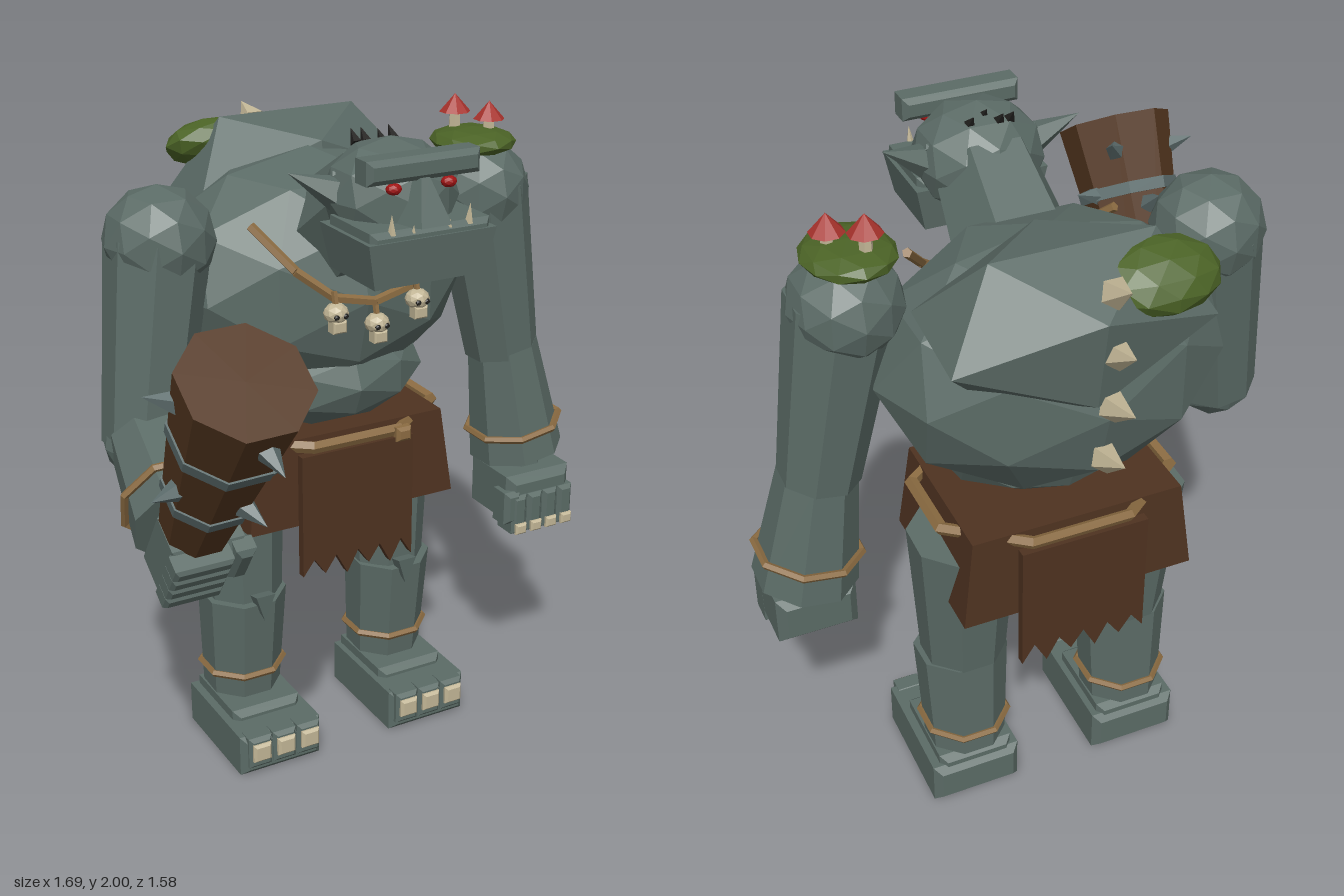
import * as THREE from 'three';

const mat = (name, color) => {
  const m = new THREE.MeshStandardMaterial({ color, flatShading: true });
  m.name = name;
  return m;
};
const V = (x, y, z) => new THREE.Vector3(x, y, z);
const UP = V(0, 1, 0);
const MID = 0.03; // centre line of the body

export function createModel() {
  const skin = mat('stone skin', 0x5b6b66), cloth = mat('leather cloth', 0x4e3220);
  const wood = mat('club wood', 0x53361f), rope = mat('rope', 0x8c6c42);
  const bone = mat('bone', 0xc2b696), moss = mat('moss', 0x4b6326);
  const cap = mat('mushroom red', 0xa8322c), eyeRed = mat('eye red', 0xa01414);
  const dark = mat('dark', 0x22211f), metal = mat('dull metal', 0x5c6c6c);
  const model = new THREE.Group();
  model.name = 'clubGiant';

  const group = (name, parent = model) => {
    const g = new THREE.Group();
    g.name = name;
    parent.add(g);
    return g;
  };
  const add = (name, geo, m, x, y, z, parent = model) => {
    const mesh = new THREE.Mesh(geo, m);
    mesh.name = name;
    mesh.position.set(x, y, z);
    parent.add(mesh);
    return mesh;
  };
  // Faceted ball
  const rock = (name, m, x, y, z, rx, ry, rz, parent, detail = 1) => {
    const r = add(name, new THREE.IcosahedronGeometry(1, detail), m, x, y, z, parent);
    r.scale.set(rx, ry, rz);
    return r;
  };
  // Tapered prism from point a to point b
  const limb = (name, m, a, b, ra, rb, parent, sides = 8) => {
    const geo = new THREE.CylinderGeometry(rb, ra, a.distanceTo(b), sides).rotateY(Math.PI / sides);
    const c = a.clone().lerp(b, 0.5);
    const mesh = add(name, geo, m, c.x, c.y, c.z, parent);
    mesh.quaternion.setFromUnitVectors(UP, b.clone().sub(a).normalize());
    return mesh;
  };
  const spike = (name, m, a, b, r, parent, sides = 5) => limb(name, m, a, b, r, 0, parent, sides);
  // Box with chamfered edges
  const block = (name, m, w, h, d, c, x, y, z, parent) => {
    const s = new THREE.Shape();
    const a = w / 2 - c, b = h / 2 - c;
    s.moveTo(-a, -b).lineTo(a, -b).lineTo(a, b).lineTo(-a, b);
    const geo = new THREE.ExtrudeGeometry(s, { depth: d - 2 * c, bevelEnabled: true, bevelSize: c, bevelThickness: c, bevelSegments: 1 });
    return add(name, geo.center(), m, x, y, z, parent);
  };
  // Rope ring around an axis
  const ring = (name, m, c, axis, rx, rz, t, parent) => {
    const geo = new THREE.TorusGeometry(1, t / rx, 5, 8).rotateX(Math.PI / 2).rotateY(Math.PI / 8).scale(rx, rx, rz);
    const r = add(name, geo, m, c.x, c.y, c.z, parent);
    r.quaternion.setFromUnitVectors(UP, axis.clone().normalize());
    return r;
  };

  // Torso
  const torso = group('torso');
  rock('chest', skin, MID, 1.5, -0.32, 0.49, 0.37, 0.36, torso);
  rock('belly', skin, MID, 1.22, -0.25, 0.32, 0.16, 0.25, torso);
  const hump = rock('hump', skin, 0.07, 1.72, -0.5, 0.42, 0.25, 0.25, torso, 0);
  hump.rotation.x = -0.15;
  rock('humpMoss', moss, -0.13, 1.84, -0.61, 0.16, 0.07, 0.11, torso).rotation.x = -0.5;
  [[1.87, -0.68, 0.08], [1.71, -0.7, 0.1], [1.55, -0.69, 0.12], [1.37, -0.66, 0.11]].forEach(([y, z, l]) =>
    spike('backSpike', bone, V(MID, y, z), V(MID, y + 0.045, z - l), 0.042, torso));
  limb('neck', skin, V(MID, 1.63, -0.17), V(MID, 1.83, 0.1), 0.18, 0.145, torso, 6);

  // Head
  const head = group('head');
  rock('skull', skin, MID, 1.84, 0.15, 0.185, 0.155, 0.18, head);
  block('muzzle', skin, 0.36, 0.06, 0.24, 0.015, MID, 1.775, 0.25, head);
  const jawGeo = new THREE.BoxGeometry(0.385, 0.125, 0.265);
  const jp = jawGeo.attributes.position;
  for (let i = 0; i < jp.count; i++) if (jp.getY(i) < 0) { jp.setX(i, jp.getX(i) * 0.87); jp.setZ(i, jp.getZ(i) * 0.9); }
  add('jaw', jawGeo, skin, MID, 1.717, 0.243, head);
  block('brow', skin, 0.34, 0.065, 0.085, 0.015, MID, 1.948, 0.29, head);
  limb('nose', skin, V(MID, 1.8, 0.325), V(MID, 1.92, 0.31), 0.078, 0.022, head, 5);
  for (const s of [-1, 1]) {
    rock('eye', eyeRed, MID + s * 0.083, 1.898, 0.308, 0.022, 0.016, 0.02, head);
    spike('ear', skin, V(MID + s * 0.14, 1.85, 0.14), V(MID + s * 0.285, 1.92, 0.11), 0.055, head);
    spike('tusk', bone, V(MID + s * 0.115, 1.765, 0.355), V(MID + s * 0.118, 1.85, 0.36), 0.018, head);
    spike('tooth', bone, V(MID + s * 0.055, 1.77, 0.36), V(MID + s * 0.055, 1.815, 0.365), 0.012, head);
    rock('wart', skin, MID + s * 0.15, 1.9, 0.12, 0.015, 0.015, 0.015, head, 0);
  }
  [[0, 0.07], [0.08, 0.08], [-0.03, 0.07], [0.03, 0.11]].forEach(([x, z]) =>
    spike('headBristle', dark, V(x, 1.965, z), V(x, 2.0, z - 0.03), 0.016, head, 4));

  // Necklace with small skulls
  const necklace = group('necklace');
  const pts = [V(-0.27, 1.73, -0.09), V(-0.19, 1.62, 0.02), V(-0.09, 1.54, 0.065), V(MID, 1.515, 0.075)];
  const strand = [...pts, ...pts.slice(0, 3).reverse().map(p => V(2 * MID - p.x, p.y, p.z))];
  for (let i = 0; i < strand.length - 1; i++) limb('cord', rope, strand[i], strand[i + 1], 0.014, 0.014, necklace, 5);
  [[-0.1, 1.505], [MID, 1.455], [0.16, 1.505]].forEach(([x, y]) => {
    const k = group('skullCharm', necklace);
    k.position.set(x, y, 0.085);
    rock('cranium', bone, 0, 0, 0, 0.036, 0.03, 0.036, k);
    block('charmJaw', bone, 0.042, 0.035, 0.04, 0.005, 0, -0.035, 0.008, k);
    limb('charmLoop', rope, V(0, 0.02, 0), V(0, 0.06, -0.01), 0.009, 0.009, k, 5);
    for (const s of [-1, 1]) rock('charmEye', dark, s * 0.014, -0.002, 0.031, 0.009, 0.009, 0.008, k, 0);
  });

  // Belt and loincloth
  const waist = group('loincloth');
  const skirt = new THREE.BoxGeometry(0.69, 0.27, 0.5);
  const sp = skirt.attributes.position;
  for (let i = 0; i < sp.count; i++) if (sp.getY(i) > 0) { sp.setX(i, sp.getX(i) * 0.9); sp.setZ(i, sp.getZ(i) * 0.93); }
  add('skirt', skirt, cloth, MID, 0.945, -0.295, waist);
  ring('belt', rope, V(MID + 0.005, 1.06, -0.295), UP, 0.375, 0.285, 0.02, waist);
  block('beltKnot', rope, 0.05, 0.045, 0.04, 0.01, 0.18, 1.05, -0.02, waist);
  const flap = new THREE.Shape();
  flap.moveTo(-0.187, 1.04).lineTo(-0.187, 0.65);
  for (let i = 1; i < 10; i++) flap.lineTo(-0.187 + i * 0.0374, i % 2 ? 0.7 : 0.63 + (i % 4) * 0.008);
  flap.lineTo(0.187, 0.64).lineTo(0.187, 1.04);
  const flapGeo = new THREE.ExtrudeGeometry(flap, { depth: 0.028, bevelEnabled: false });
  add('frontFlap', flapGeo, cloth, MID, 0, -0.045, waist);
  add('backFlap', flapGeo, cloth, MID, 0, -0.575, waist);

  // Legs and feet
  for (const s of [-1, 1]) {
    const leg = group(s > 0 ? 'leftLeg' : 'rightLeg');
    const x = MID + s * 0.262;
    limb('thigh', skin, V(x - s * 0.005, 0.5, -0.305), V(x, 0.97, -0.33), 0.125, 0.155, leg);
    limb('shin', skin, V(x, 0.17, -0.315), V(x, 0.51, -0.295), 0.122, 0.138, leg);
    spike('kneePlate', skin, V(x - s * 0.01, 0.535, -0.175), V(x - s * 0.01, 0.45, -0.155), 0.045, leg, 4);
    ring('ankleRope', rope, V(x, 0.245, -0.31), UP, 0.13, 0.13, 0.012, leg);
    limb('ankle', skin, V(x, 0.12, -0.31), V(x, 0.18, -0.315), 0.1, 0.1, leg);
    block('foot', skin, 0.275, 0.135, 0.41, 0.022, x + s * 0.003, 0.0675, -0.225, leg);
    block('instep', skin, 0.23, 0.06, 0.29, 0.02, x, 0.135, -0.27, leg);
    for (let i = -1; i < 2; i++) {
      block('toe', skin, 0.078, 0.105, 0.07, 0.012, x + i * 0.083, 0.085, -0.04, leg);
      block('toenail', bone, 0.06, 0.06, 0.03, 0.008, x + i * 0.083, 0.09, -0.007, leg);
    }
  }

  // Left arm, hanging
  const la = group('leftArm');
  rock('shoulder', skin, 0.545, 1.71, -0.215, 0.155, 0.15, 0.165, la);
  limb('upperArm', skin, V(0.645, 1.18, -0.195), V(0.55, 1.72, -0.21), 0.115, 0.15, la);
  limb('forearm', skin, V(0.705, 0.835, -0.178), V(0.645, 1.2, -0.19), 0.15, 0.11, la);
  ring('wristRope', rope, V(0.69, 0.93, -0.18), V(-0.06, 0.365, 0), 0.15, 0.15, 0.012, la);
  limb('wrist', skin, V(0.69, 0.76, -0.15), V(0.7, 0.86, -0.175), 0.08, 0.09, la);
  block('hand', skin, 0.235, 0.15, 0.24, 0.025, 0.695, 0.73, -0.135, la);
  block('thumb', skin, 0.06, 0.11, 0.09, 0.015, 0.59, 0.705, -0.05, la);
  for (let i = 0; i < 4; i++) {
    const x = 0.612 + i * 0.058;
    block('finger', skin, 0.054, 0.13, 0.1, 0.012, x, 0.68, -0.05, la);
    block('fingernail', bone, 0.04, 0.035, 0.02, 0.006, x, 0.635, 0.002, la);
  }
  rock('shoulderMoss', moss, 0.53, 1.85, -0.22, 0.125, 0.04, 0.14, la);
  [[0.5, 1.975, -0.275], [0.575, 1.958, -0.205]].forEach(([x, y, z]) => {
    const m = group('mushroom', la);
    limb('stem', bone, V(x, 1.84, z), V(x, y - 0.03, z), 0.02, 0.016, m, 6);
    spike('mushroomCap', cap, V(x, y - 0.048, z), V(x, y + 0.005, z), 0.047, m, 8);
  });

  // Right arm, bent forward
  const ra = group('rightArm');
  const elbow = V(-0.58, 1.15, -0.14), wrist = V(-0.605, 1.02, 0.16);
  rock('shoulder', skin, -0.485, 1.69, -0.22, 0.16, 0.155, 0.16, ra);
  limb('upperArm', skin, V(-0.58, 1.12, -0.17), V(-0.49, 1.69, -0.22), 0.12, 0.15, ra);
  rock('elbow', skin, -0.58, 1.13, -0.16, 0.12, 0.11, 0.12, ra);
  limb('forearm', skin, elbow, wrist, 0.115, 0.15, ra);
  ring('wristRope', rope, elbow.clone().lerp(wrist, 0.72), wrist.clone().sub(elbow), 0.152, 0.152, 0.012, ra);
  const fist = group('fist', ra);
  fist.position.set(-0.6, 0.965, 0.2);
  fist.rotation.x = 0.6;
  block('palm', skin, 0.21, 0.2, 0.17, 0.03, 0, 0, 0, fist);
  for (let i = 0; i < 4; i++) block('finger', skin, 0.17, 0.045, 0.07, 0.01, -0.03, -0.07 + i * 0.047, 0.085, fist);
  block('thumb', skin, 0.06, 0.13, 0.07, 0.015, 0.095, 0.03, 0.075, fist);

  // Club with metal bands and spikes
  const club = group('club');
  const base = V(-0.61, 1.02, 0.225), tip = V(-0.63, 1.59, 0.62);
  const len = base.distanceTo(tip);
  club.position.copy(base);
  club.quaternion.setFromUnitVectors(UP, tip.clone().sub(base).normalize());
  const radius = t => 0.095 + 0.078 * t;
  limb('clubBody', wood, V(0, 0, 0), V(0, len, 0), radius(0), radius(1), club);
  limb('clubGrip', wood, V(0, -0.15, 0), V(0, 0, 0), 0.055, 0.06, club);
  for (const t of [0.33, 0.68])
    limb('band', metal, V(0, t * len - 0.018, 0), V(0, t * len + 0.018, 0), radius(t) + 0.005, radius(t) + 0.008, club);
  [[0.85, 200], [0.88, 85], [0.68, -20], [0.45, 165], [0.42, 70], [0.6, 270], [0.35, 5], [0.85, 300]].forEach(([t, deg]) => {
    const a = deg * Math.PI / 180, r = radius(t) * 0.9;
    const at = (d, y) => V(Math.cos(a) * d, y, Math.sin(a) * d);
    spike('clubSpike', metal, at(r, t * len), at(r + 0.085, t * len + 0.01), 0.032, club);
  });
  return model;
}
